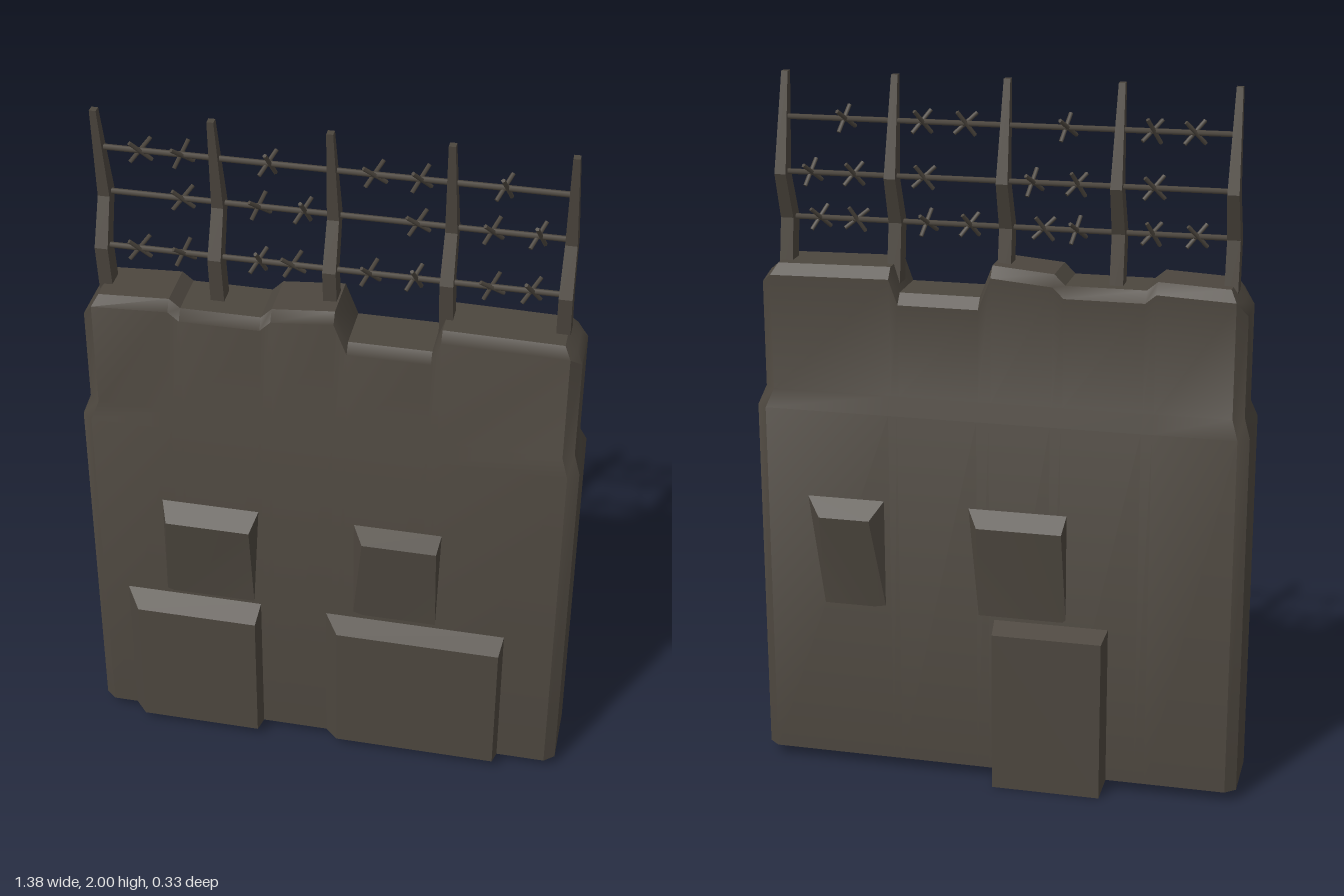
import * as THREE from 'three';
import { toCreasedNormals } from 'three/addons/utils/BufferGeometryUtils.js';

const concrete = new THREE.MeshStandardMaterial({ color: 0x4c463e, side: THREE.DoubleSide });
concrete.name = 'dark concrete and rusted metal';

// Mesh from a point list and quads, keeping strong edges sharp
function quadMesh(name, points, quads, flip = false, crease = 0.6) {
  const index = [];
  for (const [a, b, c, d] of quads) {
    if (flip) index.push(a, c, b, a, d, c);
    else index.push(a, b, c, a, c, d);
  }
  const g = new THREE.BufferGeometry();
  g.setAttribute('position', new THREE.Float32BufferAttribute(points.flat(), 3));
  g.setIndex(index);
  const mesh = new THREE.Mesh(toCreasedNormals(g, crease), concrete);
  mesh.name = name;
  return mesh;
}

// Wall: one arch-shaped section per column, following the broken top edge
function wall() {
  const top = [
    [-0.69, 1.44], [-0.66, 1.48], [-0.43, 1.49], [-0.4, 1.465], [-0.18, 1.465], [-0.15, 1.495],
    [0.02, 1.51], [0.055, 1.42], [0.28, 1.42], [0.305, 1.49], [0.66, 1.485], [0.69, 1.46],
  ];
  const points = [], quads = [], rows = 10;
  top.forEach(([x, t], i) => {
    const end = i === 0 || i === top.length - 1;
    const c = end ? 0.025 : 0;
    const section = [
      [0.035, 0.12], [1.09, 0.12], [1.14, 0.1], [t - 0.03, 0.1], [t, 0.08],
      [t, -0.06], [t - 0.03, -0.085], [1.13, -0.085], [1.08, -0.11], [0.035, -0.11],
    ];
    section.forEach(([y, z], k) => {
      const upper = k > 1 && k < 8;
      const lip = k === 4 || k === 5;
      let px = x;
      if (Math.abs(x) > 0.6) px -= Math.sign(x) * (lip ? 0.035 : upper ? 0.018 : 0);
      points.push([px, y, z - Math.sign(z) * c]);
    });
  });
  for (let i = 0; i < top.length - 1; i++)
    for (let k = 0; k < rows - 1; k++) {
      const a = i * rows + k;
      quads.push([a, a + rows, a + rows + 1, a + 1]);
    }
  // Narrow end faces; the underside stays open
  const last = (top.length - 1) * rows;
  for (let k = 0; k < 4; k++) {
    quads.push([k, k + 1, 8 - k, 9 - k]);
    quads.push([last + k, last + 9 - k, last + 8 - k, last + k + 1]);
  }
  return quadMesh('wall', points, quads);
}

// Raised plate: sloped sides running from a base outline to an outer face
function plate(name, base, out, zBase, zOut, zFoot, yBase, yFoot, yOut, yTop) {
  const [b0, b1] = base, [o0, o1] = out;
  const points = [
    [b0, yBase, zBase], [b1, yBase, zBase], [b1, yTop, zBase], [b0, yTop, zBase],
    [o0, yFoot, zFoot], [o1, yFoot, zFoot], [o1, yOut, zOut], [o0, yOut, zOut],
  ];
  const quads = [[4, 5, 6, 7], [7, 6, 2, 3], [0, 4, 7, 3], [5, 1, 2, 6]];
  return quadMesh(name, points, quads, zBase < 0, 0.5);
}

// Bent, tapering post
function post(x) {
  const stations = [ // y, z, half width, half depth
    [1.38, -0.015, 0.019, 0.028], [1.6, 0.018, 0.018, 0.026],
    [1.73, -0.032, 0.016, 0.024], [2.0, 0.02, 0.009, 0.011],
  ];
  const points = [], quads = [];
  stations.forEach(([y, z, w, d], i) => {
    points.push([x - w, y, z + d], [x + w, y, z + d], [x + w, y, z - d], [x - w, y, z - d]);
    if (i) for (let k = 0; k < 4; k++) {
      const a = (i - 1) * 4, n = (k + 1) % 4;
      quads.push([a + k, a + n, a + 4 + n, a + 4 + k]);
    }
  });
  quads.push([12, 13, 14, 15], [3, 2, 1, 0]);
  return quadMesh('post', points, quads, false, 0.2);
}

// Wire strand with crossed barbs
function strand(y, z, barbs) {
  const group = new THREE.Group();
  group.name = 'barbedWire';
  const wire = new THREE.Mesh(new THREE.CylinderGeometry(0.008, 0.008, 1.23, 6), concrete);
  wire.name = 'wire';
  wire.rotation.z = Math.PI / 2;
  wire.position.set(-0.005, y, z);
  group.add(wire);
  const spike = new THREE.CylinderGeometry(0.006, 0.006, 0.084, 5);
  barbs.forEach((x, i) => {
    const barb = new THREE.Group();
    barb.name = 'barb';
    for (const s of [-1, 1]) {
      const m = new THREE.Mesh(spike, concrete);
      m.name = 'spike';
      m.rotation.set(0.25 * s, 0, s * 0.75);
      m.position.z = 0.005 * s;
      barb.add(m);
    }
    barb.position.set(x, y, z);
    barb.rotation.set(0, 0.35 + 0.25 * (i % 3), 0.2 * Math.sin(i * 2.3));
    group.add(barb);
  });
  return group;
}

export function createModel() {
  const model = new THREE.Group();
  model.name = 'barbedWireWall';
  model.add(wall());

  // Thick lower plates
  model.add(plate('frontLowerPlate', [-0.59, -0.19], [-0.55, -0.2], 0.118, 0.163, 0.163, 0.035, 0.035, 0.45, 0.5));
  model.add(plate('frontLowerPlate', [0.0, 0.52], [0.04, 0.51], 0.118, 0.155, 0.155, 0.035, 0.035, 0.45, 0.5));
  model.add(plate('backLowerPlate', [-0.32, 0.005], [-0.31, 0], -0.108, -0.165, -0.165, 0.035, 0.003, 0.475, 0.5));

  // Wedge-shaped upper bulges
  model.add(plate('frontBulge', [-0.47, -0.19], [-0.45, -0.21], 0.118, 0.165, 0.119, 0.5, 0.5, 0.79, 0.84));
  model.add(plate('frontBulge', [0.08, 0.33], [0.11, 0.32], 0.118, 0.15, 0.119, 0.5, 0.5, 0.79, 0.84));
  model.add(plate('backBulge', [-0.2, 0.08], [-0.19, 0.05], -0.108, -0.14, -0.109, 0.5, 0.5, 0.78, 0.83));
  model.add(plate('backBulge', [0.32, 0.545], [0.355, 0.5], -0.108, -0.153, -0.109, 0.5, 0.5, 0.78, 0.83));

  for (const x of [-0.62, -0.312, -0.004, 0.305, 0.613]) model.add(post(x));

  model.add(strand(1.88, -0.005, [-0.51, -0.4, -0.17, 0.105, 0.225, 0.44]));
  model.add(strand(1.735, -0.032, [-0.41, -0.205, -0.085, 0.215, 0.41, 0.53]));
  model.add(strand(1.6, 0.018, [-0.52, -0.4, -0.195, -0.105, 0.1, 0.22, 0.42, 0.525]));
  return model;
}
